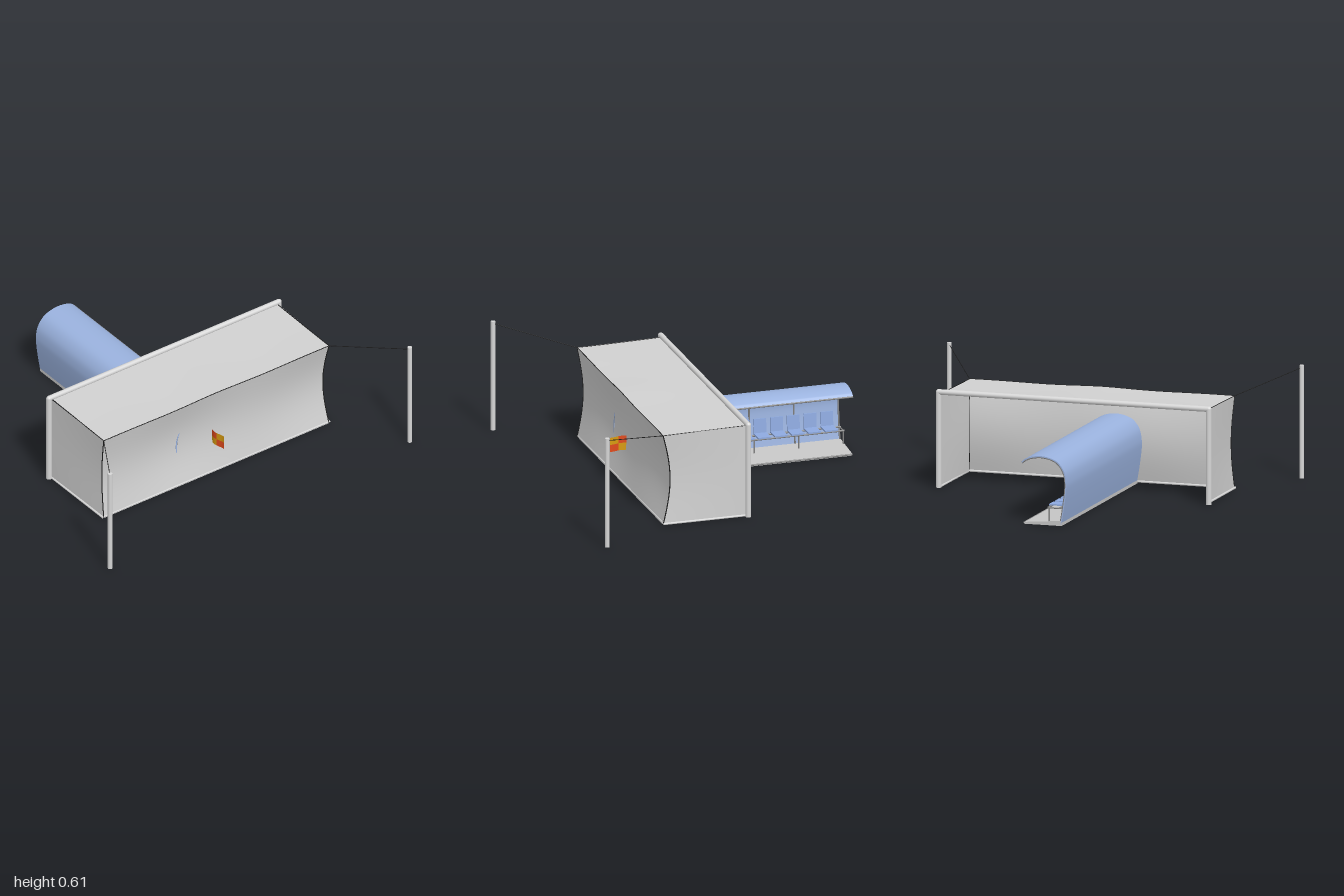
import * as THREE from 'three';
import { toCreasedNormals } from 'three/addons/utils/BufferGeometryUtils.js';

const V = (x, y, z) => new THREE.Vector3(x, y, z);

function material(name, color, side = THREE.FrontSide) {
  const m = new THREE.MeshStandardMaterial({ color, side });
  m.name = name;
  return m;
}

export function createModel() {
  const model = new THREE.Group();
  const mats = {
    frame: material('white metal', 0xd6d6d6),
    net: material('net grey', 0xd0d0d0, THREE.DoubleSide),
    rope: material('black rope', 0x1c1c1c),
    blue: material('shelter blue', 0x9ab2de),
    seat: material('seat blue', 0x8eaae0),
    steel: material('steel grey', 0x868686),
    floor: material('floor grey', 0xc6c6c6),
    amber: material('flag amber', 0xd69a10, THREE.DoubleSide),
    red: material('flag red', 0xe04a1c, THREE.DoubleSide),
  };

  const add = (parent, name, geo, mat) => {
    const mesh = new THREE.Mesh(geo, mat);
    mesh.name = name;
    parent.add(mesh);
    return mesh;
  };
  const group = (name) => {
    const g = new THREE.Group();
    g.name = name;
    model.add(g);
    return g;
  };
  // Straight round bar between two points
  const bar = (parent, name, a, b, r, mat, sides = 16) => {
    const mesh = add(parent, name, new THREE.CylinderGeometry(r, r, a.distanceTo(b), sides), mat);
    mesh.position.copy(a).lerp(b, 0.5);
    mesh.quaternion.setFromUnitVectors(V(0, 1, 0), b.clone().sub(a).normalize());
    return mesh;
  };
  const tube = (parent, name, pts, r, mat) =>
    add(parent, name, new THREE.TubeGeometry(new THREE.CatmullRomCurve3(pts), 40, r, 6), mat);
  // Curved panel from a rule (u, v) -> point
  const panel = (parent, name, nu, nv, rule, mat) => {
    const geo = new THREE.PlaneGeometry(1, 1, nu, nv);
    const p = geo.attributes.position;
    for (let i = 0; i < p.count; i++) {
      const q = rule(p.getX(i) + 0.5, p.getY(i) + 0.5);
      p.setXYZ(i, q.x, q.y, q.z);
    }
    geo.computeVertexNormals();
    return add(parent, name, geo, mat);
  };
  const along = (rule, n = 16) => Array.from({ length: n + 1 }, (_, i) => rule(i / n));

  // Goal frame
  const goal = group('goalFrame');
  bar(goal, 'crossbar', V(-0.755, 0.515, -0.027), V(0.755, 0.515, -0.027), 0.015, mats.frame);
  for (const s of [-1, 1]) {
    bar(goal, 'goalPost', V(s * 0.755, 0, -0.027), V(s * 0.755, 0.515, -0.027), 0.015, mats.frame);
    add(goal, 'cornerJoint', new THREE.SphereGeometry(0.015, 16, 12), mats.frame)
      .position.set(s * 0.755, 0.515, -0.027);
    bar(goal, 'groundBar', V(s * 0.745, 0.006, -0.027), V(s * 0.745, 0.006, 0.44), 0.006, mats.frame, 10);
  }
  bar(goal, 'rearGroundBar', V(-0.745, 0.006, 0.437), V(0.745, 0.006, 0.437), 0.006, mats.frame, 10);

  // Net, sagging between its ropes
  const net = group('net');
  const sag = (x) => 0.036 - 0.006 * Math.sin((x * Math.PI * 2) / 0.9);
  const topY = (x) => 0.5 + 0.004 * Math.cos(x * 9) * (1 - Math.abs(x) / 0.74);
  const sideX = (y) => 0.74 - 0.01 * Math.sin((Math.PI * y) / 0.5);
  const rear = (u, v) => {
    const y = v * 0.5;
    const x = (u * 2 - 1) * sideX(y);
    return V(x, v * topY(x), 0.442 - sag(x) * Math.sin(Math.PI * v));
  };
  panel(net, 'rearNet', 48, 20, rear, mats.net);
  panel(net, 'topNet', 48, 6, (u, v) => {
    const x = (u * 2 - 1) * 0.74;
    return V(x, THREE.MathUtils.lerp(0.508, topY(x), 1 - v) - 0.003 * Math.sin(Math.PI * v),
      THREE.MathUtils.lerp(0.442, -0.027, v));
  }, mats.net);
  for (const s of [-1, 1]) {
    panel(net, 'sideNet', 12, 20, (u, v) => {
      const edge = rear(s > 0 ? 1 : 0, v);
      return V(THREE.MathUtils.lerp(s * 0.745, edge.x, u), THREE.MathUtils.lerp(v * 0.508, edge.y, u),
        THREE.MathUtils.lerp(-0.027, edge.z, u));
    }, mats.net);
    tube(net, 'cornerRope', along((t) => rear(s > 0 ? 1 : 0, t)), 0.003, mats.rope);
    bar(net, 'sideTopRope', V(s * 0.74, 0.508, -0.02), V(s * 0.74, 0.5, 0.442), 0.0022, mats.rope, 6);
  }
  tube(net, 'topRope', along((t) => rear(t, 1), 32), 0.0022, mats.rope);

  // Tension poles and guy ropes
  const poles = group('tensionPoles');
  for (const s of [-1, 1]) {
    bar(poles, 'pole', V(s * 0.985, 0, 0.832), V(s * 0.985, 0.61, 0.832), 0.0125, mats.frame);
    bar(poles, 'guyRope', V(s * 0.985, 0.597, 0.832), V(s * 0.74, 0.5, 0.442), 0.002, mats.rope, 6);
  }

  // Shelter shell: a thin curved wall and roof, open towards +x
  const shelter = group('shelter');
  const back = -0.85, front = 0.403, length = front - back;
  const profile = new THREE.SplineCurve([
    [-0.208, 0.008], [-0.222, 0.09], [-0.234, 0.18], [-0.236, 0.24], [-0.222, 0.3], [-0.18, 0.35],
    [-0.112, 0.371], [-0.05, 0.368], [-0.005, 0.352], [0.015, 0.335],
  ].map(([x, y]) => new THREE.Vector2(x, y)));
  const inset = (t, d) => {
    const p = profile.getPoint(t), n = profile.getTangent(t);
    return new THREE.Vector2(p.x + n.y * d, p.y - n.x * d);
  };
  const outer = along((t) => inset(t, 0), 44);
  const inner = along((t) => inset(t, 0.006), 44);
  const shell = new THREE.ExtrudeGeometry(new THREE.Shape([...outer, ...inner.reverse()]),
    { depth: length, bevelEnabled: false });
  shell.translate(0, 0, back);
  add(shelter, 'shell', toCreasedNormals(shell, 0.6), mats.blue);

  // Tilted floor
  const floor = new THREE.ExtrudeGeometry(new THREE.Shape([
    [-0.21, 0.002], [0, 0.002], [0, 0.012], [-0.21, 0.03],
  ].map(([x, y]) => new THREE.Vector2(x, y))), { depth: length, bevelEnabled: false });
  floor.translate(0, 0, back);
  add(shelter, 'floor', floor, mats.floor);

  // Ribs, bench legs and rails
  for (let i = 0; i <= 5; i++) {
    const z = THREE.MathUtils.lerp(back + 0.005, front - 0.006, i / 5);
    tube(shelter, 'rib', along((t) => { const p = inset(t, 0.008); return V(p.x, p.y, z); }, 20), 0.0045, mats.steel);
    bar(shelter, 'benchLeg', V(-0.14, 0.015, z), V(-0.14, 0.098, z), 0.004, mats.steel, 8);
    bar(shelter, 'benchBracket', V(-0.22, 0.096, z), V(-0.14, 0.096, z), 0.004, mats.steel, 8);
  }
  for (const [name, x, y] of [['roofRail', 0.01, 0.335], ['benchRail', -0.135, 0.098],
    ['benchRail', -0.2, 0.098], ['floorRail', -0.001, 0.009]]) {
    bar(shelter, name, V(x, y, back + 0.001), V(x, y, front - 0.002), 0.005, mats.steel, 8);
  }

  // Row of seats
  for (let i = 0; i < 13; i++) {
    const z = -0.775 + i * 0.093;
    const seat = new THREE.Group();
    seat.name = 'seat';
    shelter.add(seat);
    add(seat, 'seatPan', new THREE.BoxGeometry(0.085, 0.008, 0.07), mats.seat).position.set(-0.17, 0.106, z);
    const rest = add(seat, 'seatBack', new THREE.BoxGeometry(0.008, 0.085, 0.07), mats.seat);
    rest.position.set(-0.212, 0.144, z);
    rest.rotation.z = 0.08;
  }

  // Small checked flag
  const flag = group('cornerFlag');
  bar(flag, 'flagPole', V(0, 0, 0.397), V(0, 0.255, 0.397), 0.004, mats.amber, 10);
  for (let i = 0; i < 2; i++) {
    for (let j = 0; j < 2; j++) {
      panel(flag, 'flagCheck', 6, 2, (u, v) => {
        const a = (i + u) / 2;
        return V(-0.007 * Math.sin(a * Math.PI * 1.5), 0.17 + (j + v) * 0.04, 0.4 + a * 0.1);
      }, i === j ? mats.amber : mats.red);
    }
  }

  return model;
}
